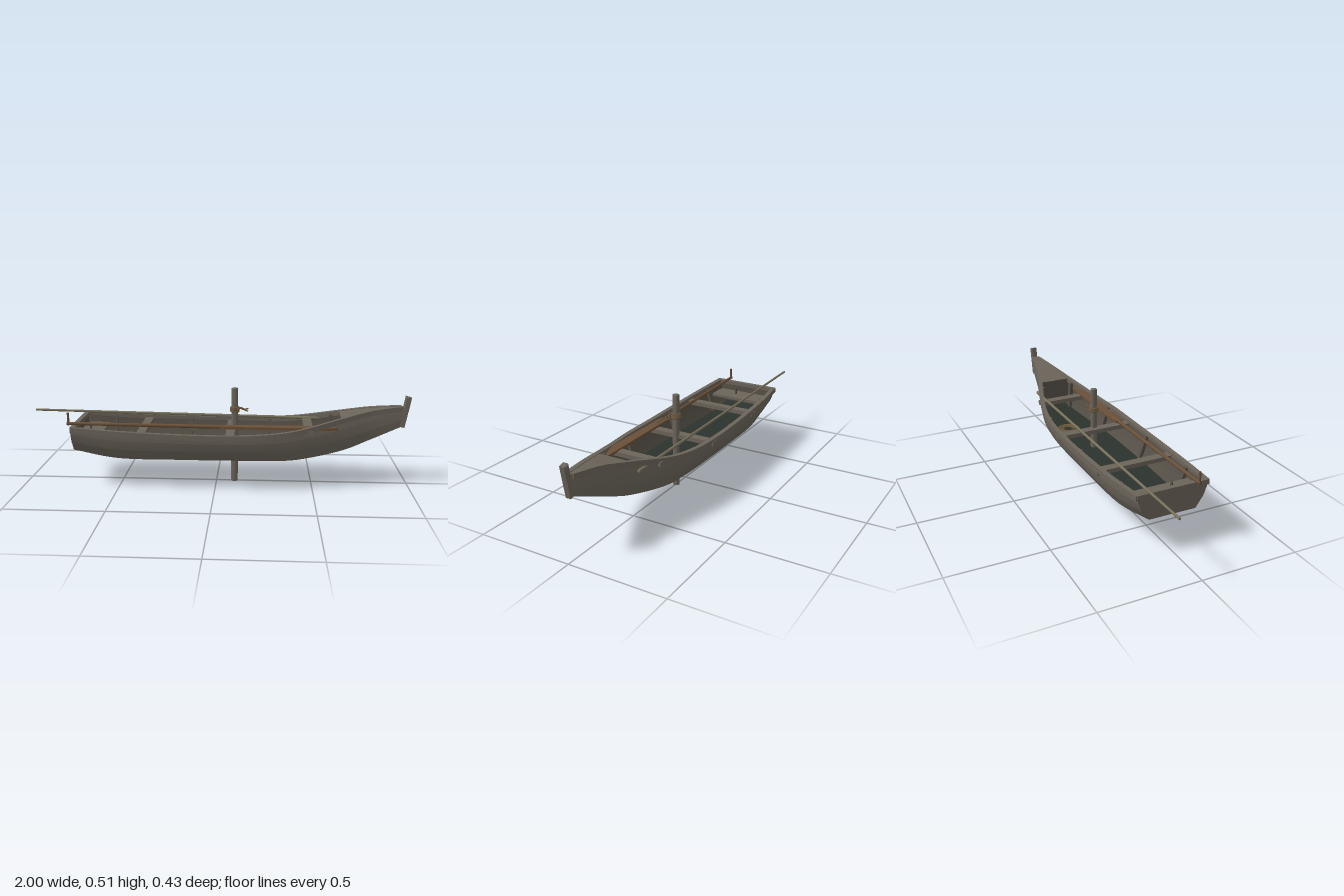
import * as THREE from 'three';
import { toCreasedNormals } from 'three/addons/utils/BufferGeometryUtils.js';

const V = (x, y, z) => new THREE.Vector3(x, y, z);
const paint = (color) => new THREE.MeshStandardMaterial({ color, side: THREE.DoubleSide });
const WOOD = paint(0x6b645a), DARK = paint(0x565047), FLOOR = paint(0x2b322c), BOTTOM = paint(0x35362c);
const OAR = paint(0x6a5038), BAMBOO = paint(0x77705a), ROPE = paint(0x6e5a3e);

// Stations along the hull: x, sheer height, sheer half-width, chine height, chine half-width
const STATIONS = [
  [-0.735, 0.32, 0.18, 0.19, 0.12], [-0.5, 0.308, 0.198, 0.157, 0.148],
  [-0.2, 0.298, 0.208, 0.155, 0.155], [0.05, 0.295, 0.208, 0.155, 0.155],
  [0.25, 0.301, 0.198, 0.155, 0.15], [0.42, 0.318, 0.165, 0.159, 0.13],
  [0.64, 0.365, 0.095, 0.195, 0.08], [0.8, 0.398, 0.047, 0.25, 0.042], [0.965, 0.415, 0.013, 0.315, 0.011],
];
const curveOf = (iy, iz) => new THREE.CatmullRomCurve3(STATIONS.map((s) => V(s[0], s[iy], s[iz])), false, 'catmullrom', 0.5);
const sheer = curveOf(1, 2), chine = curveOf(3, 4);

// Curve parameter at a given x
function tAt(x) {
  let a = 0, b = 1;
  for (let i = 0; i < 30; i++) {
    const m = (a + b) / 2;
    if (sheer.getPoint(m).x < x) a = m; else b = m;
  }
  return a;
}

// Point on the hull side: s runs from chine (0) to sheer (1), inset moves it inboard
function sidePoint(t, s, inset = 0) {
  const p = chine.getPoint(t).lerp(sheer.getPoint(t), s);
  const bulge = 0.012 * Math.sin(Math.PI * s) * Math.min(1, p.z / 0.1);
  p.z = Math.max(0.002, p.z + bulge - inset);
  return p;
}

// Surface through a row of cross-sections
function loft(sections, crease = 0.4) {
  const n = sections[0].length, pos = [], idx = [];
  for (const row of sections) for (const p of row) pos.push(p.x, p.y, p.z);
  for (let i = 0; i < sections.length - 1; i++) {
    for (let j = 0; j < n - 1; j++) {
      const a = i * n + j, b = a + n;
      idx.push(a, b, a + 1, b, b + 1, a + 1);
    }
  }
  const g = new THREE.BufferGeometry();
  g.setAttribute('position', new THREE.Float32BufferAttribute(pos, 3));
  g.setIndex(idx);
  return toCreasedNormals(g, crease);
}
function along(t0, t1, section, count = 48) {
  return Array.from({ length: count + 1 }, (_, i) => section(t0 + ((t1 - t0) * i) / count));
}

export function createModel() {
  const boat = new THREE.Group();
  boat.name = 'boat';
  const add = (name, geo, mat, x = 0, y = 0, z = 0) => {
    const m = new THREE.Mesh(geo, mat);
    m.name = name;
    m.position.set(x, y, z);
    boat.add(m);
    return m;
  };
  // Straight piece from a to b, boxed or round
  const beam = (name, a, b, w, h, mat) => {
    const m = add(name, new THREE.BoxGeometry(w, h, a.distanceTo(b)), mat);
    m.position.copy(a).lerp(b, 0.5);
    m.lookAt(b);
    return m;
  };
  const rod = (name, a, b, ra, rb, mat, sides = 10) => {
    const m = add(name, new THREE.CylinderGeometry(rb, ra, a.distanceTo(b), sides), mat);
    m.position.copy(a).lerp(b, 0.5);
    m.quaternion.setFromUnitVectors(V(0, 1, 0), b.clone().sub(a).normalize());
    return m;
  };
  const flip = (p, side) => V(p.x, p.y, p.z * side);

  for (const side of [1, -1]) {
    const label = side > 0 ? 'left' : 'right';
    // Three lapped strakes outside, one lining inside
    const cuts = [0, 0.36, 0.7, 1];
    for (let k = 0; k < 3; k++) {
      const rows = along(0, 1, (t) => [0, 0.5, 1].map((f) => {
        const s = cuts[k] + (cuts[k + 1] - cuts[k]) * f;
        return flip(sidePoint(t, s, k ? -0.003 * (1 - f) : 0), side);
      }));
      add(label + 'Strake' + (k + 1), loft(rows), WOOD);
    }
    add(label + 'Lining', loft(along(0, tAt(0.66), (t) =>
      [0.05, 0.35, 0.7, 1].map((s) => flip(sidePoint(t, s, 0.014), side)))), DARK);

    // Gunwale, a rectangular rail following the sheer
    const rail = [[-0.016, 0.004], [0.008, 0.004], [0.008, -0.022], [-0.016, -0.022], [-0.016, 0.004]];
    const railRow = (t) => rail.map(([dz, dy]) => {
      const p = sheer.getPoint(t);
      return V(p.x, p.y + dy, Math.max(0.002, p.z + dz) * side);
    });
    add(label + 'Gunwale', loft(along(0, 0.992, railRow)), WOOD);
    for (const t of [0, 0.992]) {
      const r = railRow(t);
      add(label + 'GunwaleEnd', loft([[r[0], r[1]], [r[3], r[2]]]), WOOD);
    }

    // Ribs against the lining
    for (const x of [-0.56, -0.15, 0.28, 0.6]) {
      const t = tAt(x);
      beam(label + 'Rib', flip(sidePoint(t, 0.08, 0.016), side), flip(sidePoint(t, 0.95, 0.02), side), 0.018, 0.018, DARK);
    }
  }

  // Flat bottom and inner floor
  const across = (curve, t, dy, inset) => {
    const p = curve.getPoint(t), z = Math.max(0.001, p.z - inset);
    return [V(p.x, p.y + dy, z), V(p.x, p.y + dy, -z)];
  };
  add('bottom', loft(along(0, 1, (t) => across(chine, t, 0, 0))), BOTTOM);
  add('floor', loft(along(0, tAt(0.66), (t) => across(chine, t, 0.014, 0.004))), FLOOR);

  // Crosswise panel filling the hull outline at a station
  const panel = (name, t, dx, mat) => {
    const rows = [0, 0.25, 0.5, 0.75, 1].map((s) => {
      const p = sidePoint(t, s);
      return [V(p.x + dx, p.y, p.z), V(p.x + dx, p.y, -p.z)];
    });
    add(name, loft(rows), mat);
  };
  panel('transom', 0, 0, WOOD);
  panel('transomLining', 0, 0.018, DARK);
  panel('bowBulkhead', tAt(0.64), 0, DARK);
  add('transomCap', new THREE.BoxGeometry(0.024, 0.02, 0.36), WOOD, -0.725, 0.314, 0);

  // Stern seat with its peg
  add('sternSeat', new THREE.BoxGeometry(0.13, 0.014, 0.32), WOOD, -0.662, 0.262, 0);
  add('sternPeg', new THREE.CylinderGeometry(0.006, 0.006, 0.04, 8), DARK, -0.66, 0.288, 0.035);

  // Bow deck and stem post
  add('bowDeck', loft(along(tAt(0.64), 1, (t) => across(sheer, t, 0.001, 0), 16)), WOOD);
  const stem = new THREE.Shape([[0.95, 0.312], [0.968, 0.308], [0.978, 0.36], [0.996, 0.46], [0.974, 0.466], [0.958, 0.37]]
    .map(([x, y]) => new THREE.Vector2(x, y)));
  add('stemPost', new THREE.ExtrudeGeometry(stem, { depth: 0.026, bevelThickness: 0.003, bevelSize: 0.003, bevelSegments: 1 }), WOOD, 0, 0, -0.013);

  // Thwarts, their ends passing through the sides
  for (const x of [-0.38, 0.075, 0.475]) {
    const p = sheer.getPoint(tAt(x));
    add('thwart', new THREE.BoxGeometry(0.045, 0.022, 2 * (p.z + 0.01)), WOOD, x, p.y - 0.021, 0);
  }

  // Mooring stake through the hull, with a lashing
  const X = 0.095;
  add('stake', toCreasedNormals(new THREE.CylinderGeometry(0.017, 0.018, 0.5, 12), 0.7), WOOD, X, 0.25, 0);
  add('stakeTop', new THREE.ConeGeometry(0.017, 0.006, 12), WOOD, X, 0.503, 0);
  for (let i = 0; i < 3; i++) {
    const ring = add('lashing', new THREE.TorusGeometry(0.021, 0.005, 6, 20), ROPE, X, 0.38 + i * 0.009, 0);
    ring.rotation.set(Math.PI / 2, 0.06 * (i - 1), 0);
  }
  for (const s of [1, -1]) {
    const tail = new THREE.CatmullRomCurve3([V(X - 0.01, 0.392, 0.02), V(X + 0.03, 0.398, 0.012 + 0.008 * s),
      V(X + 0.05, 0.388, 0.01 * s), V(X + 0.07, 0.386 - 0.004 * s, 0.012 * s)]);
    add('lashingTail', new THREE.TubeGeometry(tail, 12, 0.0035, 6), ROPE);
  }

  // Coiled rope on the floor
  for (let i = 0; i < 4; i++) {
    const coil = add('ropeCoil', new THREE.TorusGeometry(0.03 + 0.01 * i, 0.0045, 6, 28), ROPE, 0.35, 0.177, -0.04);
    coil.rotation.x = Math.PI / 2;
  }

  // Long punting pole
  rod('puntingPole', V(-1, 0.341, -0.129), V(0.62, 0.317, -0.119), 0.006, 0.008, BAMBOO);

  // Sculling oar: shaft, upright handle and tapered blade
  rod('oarShaft', V(-0.765, 0.33, 0.12), V(0.1, 0.321, 0.113), 0.008, 0.01, OAR);
  rod('oarHandle', V(-0.757, 0.32, 0.12), V(-0.757, 0.386, 0.12), 0.006, 0.006, OAR, 8);
  const blade = new THREE.Shape([[0.02, -0.012], [0.05, -0.022], [0.56, -0.026], [0.62, -0.012], [0.62, 0.012], [0.56, 0.026], [0.05, 0.022], [0.02, 0.012]]
    .map(([x, y]) => new THREE.Vector2(x, y)));
  const oarBlade = add('oarBlade', new THREE.ExtrudeGeometry(blade, { depth: 0.012, bevelEnabled: false }), OAR, 0, 0.327, 0.111);
  oarBlade.rotation.x = Math.PI / 2;

  return boat;
}
